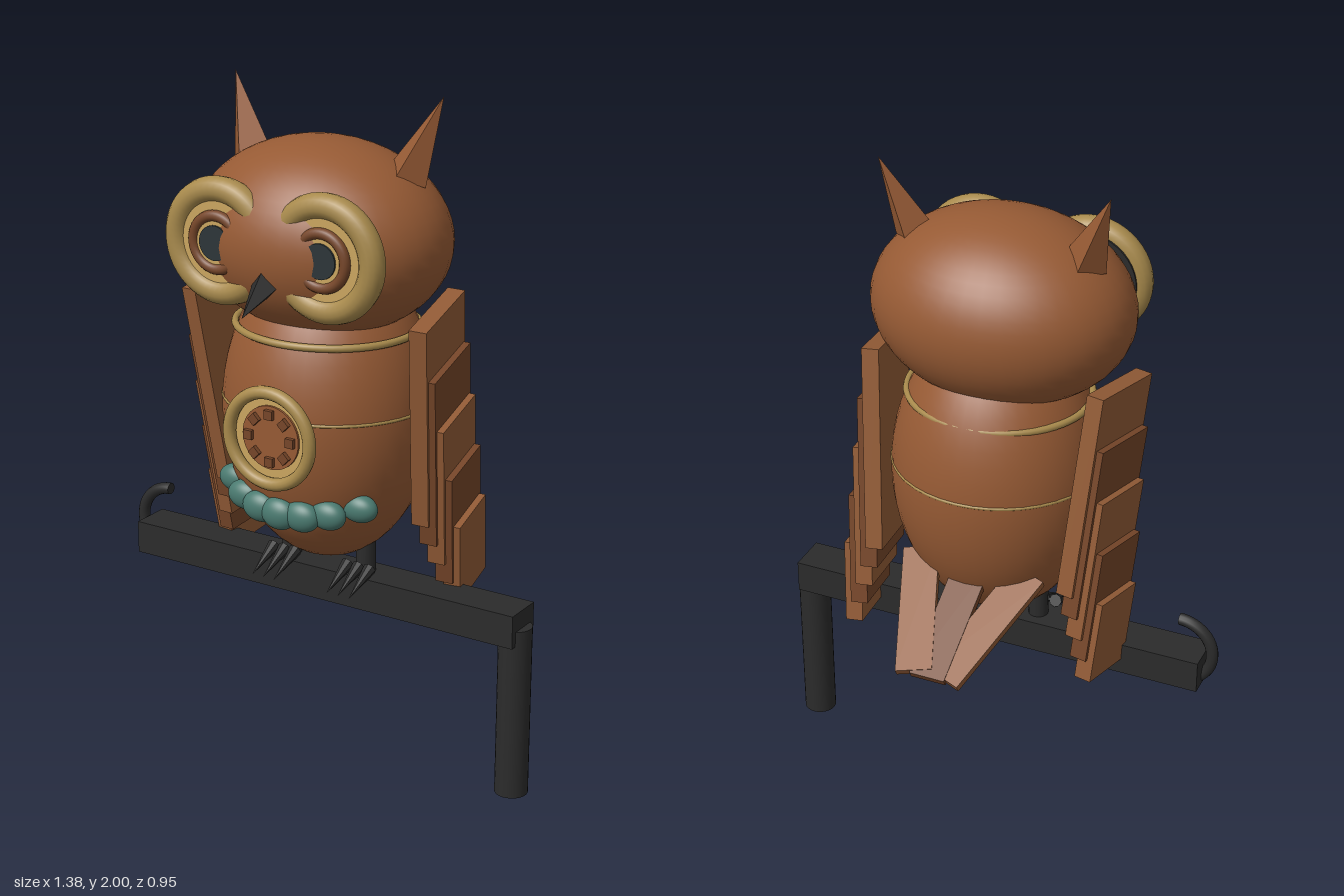
import * as THREE from 'three';

const mat = (name, color) => {
  const m = new THREE.MeshStandardMaterial({ color });
  m.name = name;
  return m;
};

export function createModel() {
  const copper = mat('copper', 0x965a34);
  const feather = mat('feather copper', 0x925b36);
  const darkCopper = mat('dark copper', 0x764629);
  const brass = mat('brass', 0xa88a4c);
  const paleBrass = mat('pale brass', 0xcba660);
  const iron = mat('iron', 0x2b2b2b);
  const lens = mat('lens', 0x2c3538);
  const patina = mat('patina', 0x4a7a70);

  const root = new THREE.Group();
  const owl = new THREE.Group();
  owl.name = 'owl';
  owl.position.x = 0.0075;
  root.add(owl);

  const add = (parent, name, geo, material, x = 0, y = 0, z = 0) => {
    const m = new THREE.Mesh(geo, material);
    m.name = name;
    m.position.set(x, y, z);
    parent.add(m);
    return m;
  };
  const ball = (parent, name, material, pos, rad) => {
    const m = add(parent, name, new THREE.SphereGeometry(1, 40, 28), material, ...pos);
    m.scale.set(...rad);
    return m;
  };
  // disc whose axis points forward
  const disc = (parent, name, material, r, depth, x, y, z) =>
    add(parent, name, new THREE.CylinderGeometry(r, r, depth, 40).rotateX(Math.PI / 2), material, x, y, z);
  const ring = (parent, name, material, R, tube, x, y, z) =>
    add(parent, name, new THREE.TorusGeometry(R, tube, 14, 48), material, x, y, z);
  // faceted cone running from its base centre to its tip
  const spike = (parent, name, material, r, sides, base, tip) => {
    const a = new THREE.Vector3(...base), b = new THREE.Vector3(...tip);
    const dir = b.clone().sub(a);
    const geo = new THREE.ConeGeometry(r, dir.length(), sides).toNonIndexed();
    geo.computeVertexNormals();
    const m = add(parent, name, geo, material, ...a.add(b).multiplyScalar(0.5));
    m.quaternion.setFromUnitVectors(new THREE.Vector3(0, 1, 0), dir.normalize());
  };
  // horizontal oval band
  const band = (name, rx, rz, tube, y, z) => {
    const geo = new THREE.TorusGeometry(1, tube / rx, 10, 64).rotateX(Math.PI / 2);
    const m = add(owl, name, geo, brass, 0, y, z);
    m.scale.set(rx, rx, rz);
  };

  // Body and head
  ball(owl, 'body', copper, [0, 1.07, 0.04], [0.315, 0.46, 0.3]);
  ball(owl, 'head', copper, [0, 1.585, 0.075], [0.39, 0.28, 0.31]);
  band('neckRing', 0.27, 0.25, 0.011, 1.32, 0.05);
  band('bodySeam', 0.3115, 0.297, 0.005, 1.105, 0.04);

  // Beak
  spike(owl, 'beak', iron, 0.045, 4, [0, 1.507, 0.355], [0, 1.437, 0.475]);

  // Eyes, ear tufts and feet
  for (const s of [-1, 1]) {
    const eye = new THREE.Group();
    eye.name = s > 0 ? 'leftEye' : 'rightEye';
    eye.position.set(s * 0.173, 1.595, 0);
    owl.add(eye);
    disc(eye, 'eyeSocket', iron, 0.148, 0.04, 0, 0, 0.3);
    disc(eye, 'eyeDisc', paleBrass, 0.145, 0.02, 0, 0, 0.332);
    ring(eye, 'eyeRim', brass, 0.146, 0.037, 0, 0, 0.322);
    ring(eye, 'irisRim', darkCopper, 0.076, 0.016, 0, 0, 0.346);
    disc(eye, 'iris', paleBrass, 0.068, 0.02, 0, 0, 0.342);
    disc(eye, 'pupil', lens, 0.05, 0.02, 0, 0, 0.348);

    spike(owl, 'earTuft', copper, 0.065, 4, [s * 0.257, 1.775, 0.045], [s * 0.344, 2, 0]);

    add(owl, 'leg', new THREE.CylinderGeometry(0.03, 0.03, 0.12, 16), iron, s * 0.13, 0.62, 0.045);
    for (const t of [-1, 0, 1]) {
      const x = s * 0.13 + t * 0.038;
      spike(owl, 'claw', iron, 0.02, 8, [x, 0.605, 0.085], [x, 0.55, 0.2]);
    }
  }

  // Wings: five overlapping feathers, each lower and further out
  for (const s of [-1, 1]) {
    const wing = new THREE.Group();
    wing.name = s > 0 ? 'leftWing' : 'rightWing';
    wing.position.set(s * 0.365, 1.415, 0.055);
    wing.rotation.set(0.17, s * 0.14, -s * 0.07);
    owl.add(wing);
    for (let i = 0; i < 5; i++) {
      const len = 0.62 - i * 0.092;
      const geo = new THREE.BoxGeometry(0.052, len, 0.285 - i * 0.021);
      add(wing, 'wingFeather', geo, i % 2 ? darkCopper : feather,
        s * i * 0.02, -i * 0.157 - len / 2, 0);
    }
  }

  // Tail: three slats closing towards their ends
  const tail = new THREE.Group();
  tail.name = 'tail';
  tail.position.set(0, 0.735, -0.29);
  tail.rotation.x = -0.53;
  owl.add(tail);
  for (const t of [-1, 0, 1]) {
    const m = add(tail, 'tailFeather', new THREE.BoxGeometry(0.108, 0.024, 0.4),
      t ? feather : darkCopper, t * 0.108, t * 0.002, 0);
    m.rotation.y = t * 0.32;
  }

  // Chest gear
  const gear = new THREE.Group();
  gear.name = 'chestGear';
  gear.position.set(0, 1.055, 0);
  owl.add(gear);
  ring(gear, 'gearRim', brass, 0.135, 0.019, 0, 0, 0.35);
  disc(gear, 'gearPlate', paleBrass, 0.13, 0.04, 0, 0, 0.317);
  disc(gear, 'gearWheel', copper, 0.094, 0.03, 0, 0, 0.329);
  for (let i = 0; i < 8; i++) {
    const a = i * Math.PI / 4;
    const m = add(gear, 'gearTooth', new THREE.BoxGeometry(0.027, 0.027, 0.02), darkCopper,
      Math.cos(a) * 0.07, Math.sin(a) * 0.07, 0.347);
    m.rotation.z = a;
  }

  // Patina beads across the belly
  for (let i = -3; i <= 3; i++) {
    const x = i * 0.07;
    const y = 0.815 + 0.033 * (i / 3) ** 2 - i * 0.001;
    const z = 0.04 + 0.262 * Math.sqrt(1 - (x / 0.275) ** 2);
    ball(owl, 'patinaBead', patina, [x, y, z], [0.058, 0.048 - Math.abs(i) * 0.002, 0.036]);
  }

  // Perch with post and curled end
  add(root, 'perchBar', new THREE.BoxGeometry(1.315, 0.1, 0.125), iron, 0.006, 0.53, 0.047);
  add(root, 'perchPost', new THREE.CylinderGeometry(0.049, 0.049, 0.525, 24), iron, 0.64, 0.2625, 0.047);
  const hook = add(root, 'perchHook', new THREE.TorusGeometry(0.105, 0.018, 12, 32, Math.PI), iron,
    -0.572, 0.578, 0.042);
  hook.rotation.z = Math.PI / 2;
  for (const s of [-1, 1]) {
    const cap = add(root, 'hookEnd', new THREE.CircleGeometry(0.018, 12), iron,
      -0.572, 0.578 + s * 0.105, 0.042);
    cap.rotation.y = Math.PI / 2;
  }
  return root;
}
